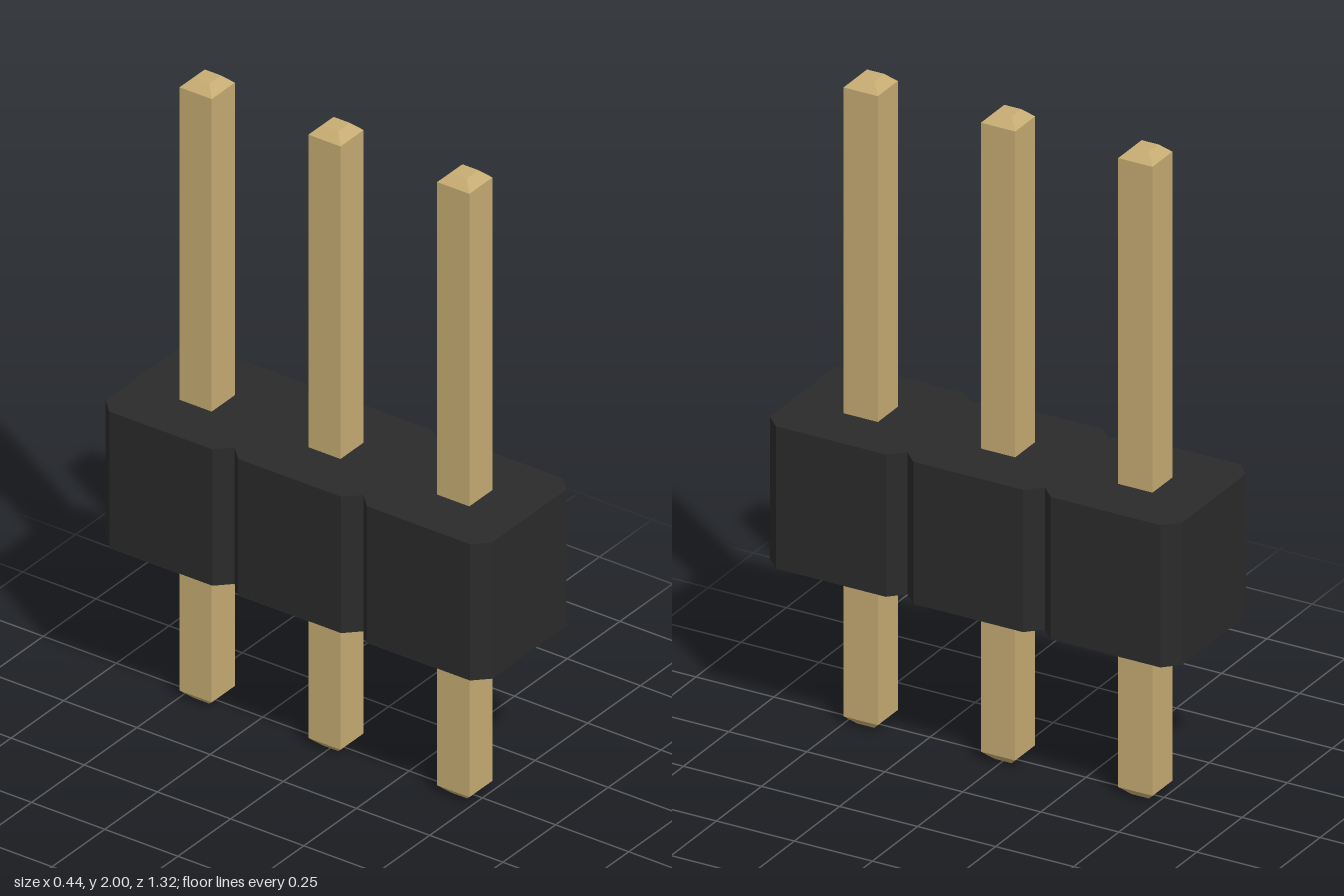
import * as THREE from 'three';

const PINS = 3, PITCH = 0.44, HALF = 0.22, CHAMFER = 0.044;
const BASE_Y = 0.525, BASE_HEIGHT = 0.44;
const PIN_HALF = 0.055, TIP_HALF = 0.0275, TIP_HEIGHT = 0.027;

// Plan outline: a row of joined octagons, up the +x side and back down the -x side
function housingShape() {
  const side = [];
  for (let i = 0; i < PINS; i++) {
    const c = (i - (PINS - 1) / 2) * PITCH;
    side.push([HALF - CHAMFER, c - HALF], [HALF, c - HALF + CHAMFER], [HALF, c + HALF - CHAMFER]);
  }
  side.push([HALF - CHAMFER, PINS * PITCH / 2]);
  const outline = [...side, ...side.map(([x, z]) => [-x, z]).reverse()];
  return new THREE.Shape(outline.map(([x, z]) => new THREE.Vector2(x, z)));
}

// Square pin with a blunt pyramid at both ends
function pinGeometry() {
  const r = Math.SQRT2;
  const profile = [
    [0, 0], [TIP_HALF * r, 0], [PIN_HALF * r, TIP_HEIGHT],
    [PIN_HALF * r, 2 - TIP_HEIGHT], [TIP_HALF * r, 2], [0, 2],
  ].map(([x, y]) => new THREE.Vector2(x, y));
  return new THREE.LatheGeometry(profile, 4, Math.PI / 4);
}

export function createModel() {
  const model = new THREE.Group();
  model.name = 'pinHeader';

  const plastic = new THREE.MeshStandardMaterial({ color: 0x2b2b2b, flatShading: true });
  const metal = new THREE.MeshStandardMaterial({ color: 0xc8ad74, flatShading: true });

  // Plastic housing
  const body = new THREE.ExtrudeGeometry(housingShape(), { depth: BASE_HEIGHT, bevelEnabled: false });
  body.rotateX(-Math.PI / 2);
  const housing = new THREE.Mesh(body, plastic);
  housing.name = 'housing';
  housing.position.y = BASE_Y;
  model.add(housing);

  // Row of metal pins through the housing
  const geometry = pinGeometry();
  for (let i = 0; i < PINS; i++) {
    const pin = new THREE.Mesh(geometry, metal);
    pin.name = `pin${i + 1}`;
    pin.position.z = (i - (PINS - 1) / 2) * PITCH;
    model.add(pin);
  }
  return model;
}
